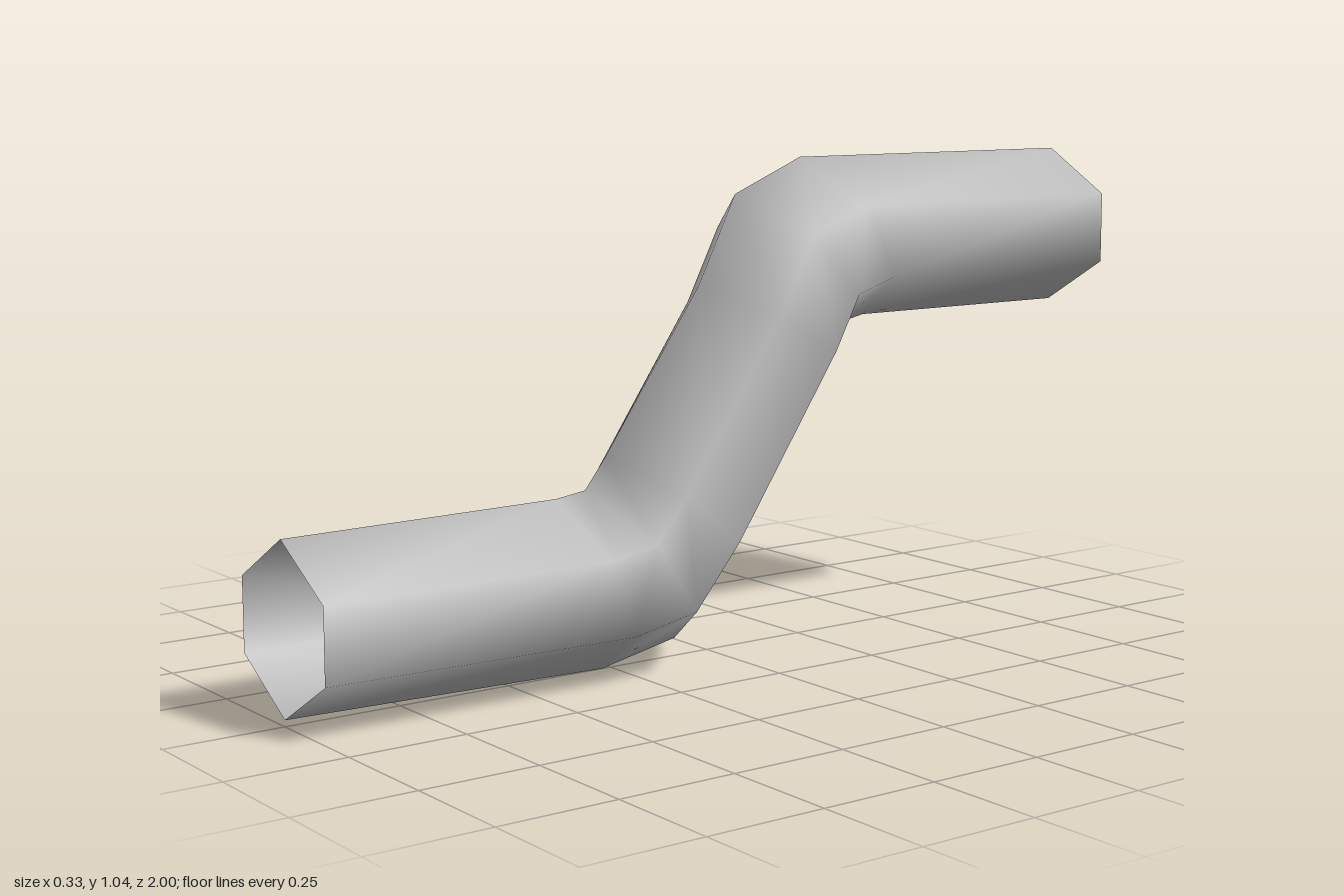
import * as THREE from 'three';

export function createModel() {
  const group = new THREE.Group();
  group.name = 'offsetPipe';
  const grey = new THREE.MeshStandardMaterial({ color: 0xbfbfbf, side: THREE.DoubleSide });
  grey.name = 'pipeGrey';

  // Each ring: z and y of its upper ridge, then z and y of its lower ridge
  const rings = [
    [1, 0.37, 1, 0.02],
    [0.38, 0.377, 0.27, 0.007],
    [0.31, 0.387, 0.085, 0.045],
    [0.26, 0.45, -0.05, 0.205],
    [0.02, 0.79, -0.31, 0.595],
    [-0.075, 0.977, -0.36, 0.685],
    [-0.25, 1.05, -0.43, 0.70],
    [-1, 1.05, -1, 0.70],
  ];
  // Hexagon corners: x, and fraction of the way from upper to lower ridge
  const w = 0.165;
  const corners = [[0, 0], [w, 0.28], [w, 0.72], [0, 1], [-w, 0.72], [-w, 0.28]];
  const n = corners.length;

  const positions = [];
  const index = [];
  rings.forEach(([zt, yt, zb, yb], r) => {
    corners.forEach(([x, t], i) => {
      positions.push(x, yt + (yb - yt) * t, zt + (zb - zt) * t);
      if (r === rings.length - 1) return;
      const a = r * n + i;
      const b = r * n + (i + 1) % n;
      index.push(a, b, a + n, b, b + n, a + n);
    });
  });

  // Open-ended hexagonal pipe with two bends, smoothly shaded
  const geometry = new THREE.BufferGeometry();
  geometry.setAttribute('position', new THREE.Float32BufferAttribute(positions, 3));
  geometry.setIndex(index);
  geometry.computeVertexNormals();
  const pipe = new THREE.Mesh(geometry, grey);
  pipe.name = 'bentPipe';
  group.add(pipe);
  return group;
}
